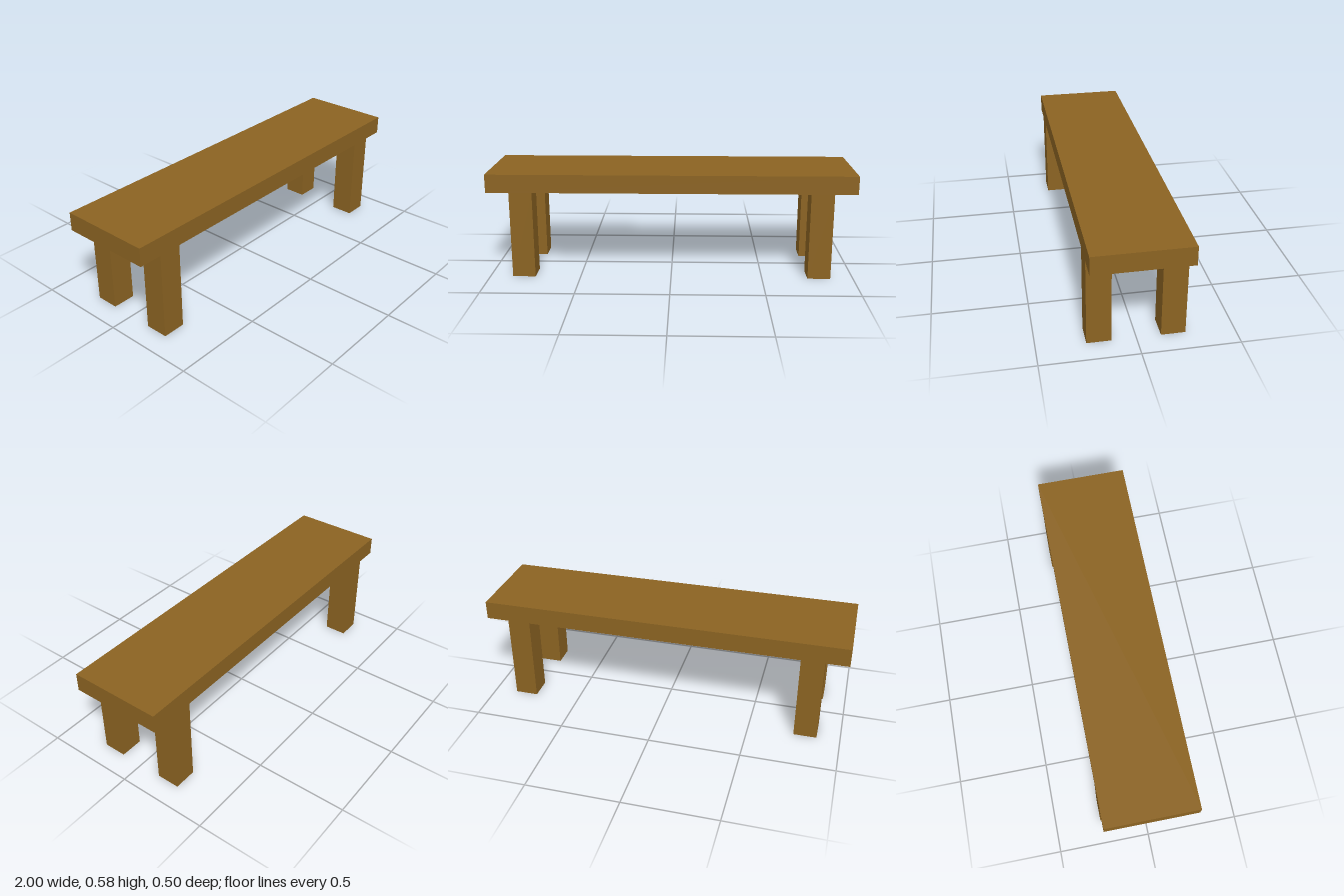
import * as THREE from 'three';

const SEAT = { length: 2, thickness: 0.1, depth: 0.5 };
const LEG = { width: 0.125, height: 0.477, depth: 0.125 };

export function createModel() {
  const bench = new THREE.Group();
  bench.name = 'bench';

  const wood = new THREE.MeshStandardMaterial({ color: 0x8b6322 });
  wood.name = 'brown wood';

  // Seat plank resting on the legs
  const seat = new THREE.Mesh(
    new THREE.BoxGeometry(SEAT.length, SEAT.thickness, SEAT.depth), wood);
  seat.name = 'seat';
  seat.position.y = LEG.height + SEAT.thickness / 2;
  bench.add(seat);

  // Four square legs, flush with the front and back edges and inset from the ends
  const legGeometry = new THREE.BoxGeometry(LEG.width, LEG.height, LEG.depth);
  for (const [side, sx] of [['Left', 1], ['Right', -1]]) {
    for (const [end, sz] of [['front', 1], ['back', -1]]) {
      const leg = new THREE.Mesh(legGeometry, wood);
      leg.name = `${end}${side}Leg`;
      leg.position.set(sx * 0.8125, LEG.height / 2, sz * (SEAT.depth - LEG.depth) / 2);
      bench.add(leg);
    }
  }
  return bench;
}
